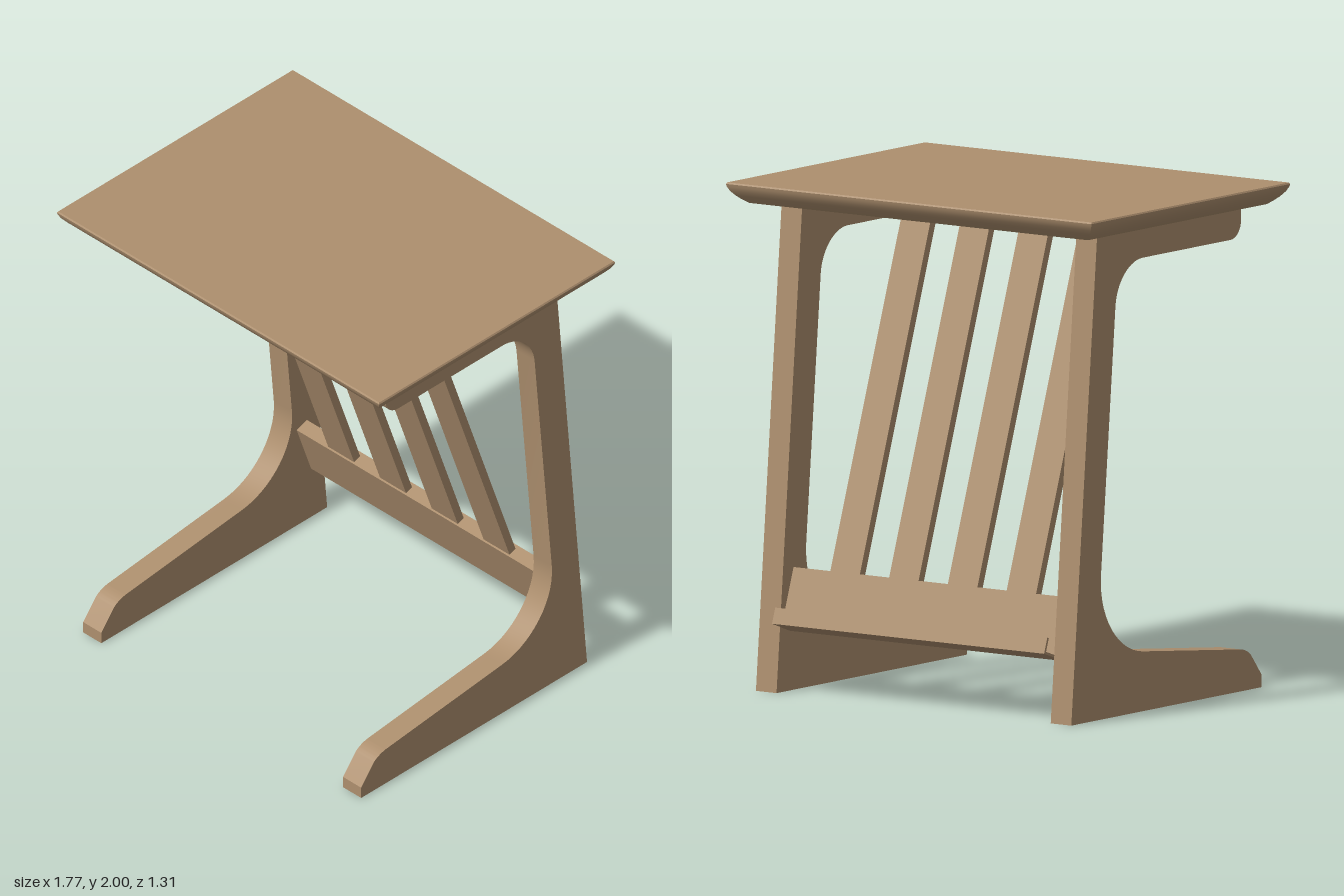
import * as THREE from 'three';
import { toCreasedNormals } from 'three/addons/utils/BufferGeometryUtils.js';

const wood = new THREE.MeshStandardMaterial({ color: 0xad8f6e });
wood.name = 'wood';

function add(parent, name, geometry) {
  const mesh = new THREE.Mesh(geometry, wood);
  mesh.name = name;
  parent.add(mesh);
  return mesh;
}

// Box given by its extents
function box(parent, name, [x0, x1], [y0, y1], [z0, z1]) {
  const mesh = add(parent, name, new THREE.BoxGeometry(x1 - x0, y1 - y0, z1 - z0));
  mesh.position.set((x0 + x1) / 2, (y0 + y1) / 2, (z0 + z1) / 2);
  return mesh;
}

// Rounds the corner at (cx, cy), ending at (ex, ey)
function roundCorner(shape, cx, cy, ex, ey) {
  const p = shape.currentPoint, k = 0.55;
  shape.bezierCurveTo(
    p.x + (cx - p.x) * k, p.y + (cy - p.y) * k,
    ex + (cx - ex) * k, ey + (cy - ey) * k, ex, ey);
}

// Table top: rectangular rings following a rounded, mitred edge profile
function tableTopGeometry(halfX, halfZ) {
  const profile = [[0.065, 1.917], [0.046, 1.931], [0.028, 1.947], [0.012, 1.966],
    [0.003, 1.983], [0, 1.994], [0.004, 2]];
  const rings = profile.map(([inset, y]) =>
    [[1, 1], [1, -1], [-1, -1], [-1, 1]].map(([sx, sz]) =>
      [sx * (halfX - inset), y, sz * (halfZ - inset)]));
  const positions = [];
  const quad = (a, b, c, d) => positions.push(...a, ...b, ...c, ...a, ...c, ...d);
  for (let i = 0; i < rings.length - 1; i++) {
    for (let j = 0; j < 4; j++) {
      const k = (j + 1) % 4;
      quad(rings[i][j], rings[i][k], rings[i + 1][k], rings[i + 1][j]);
    }
  }
  quad(...rings[rings.length - 1]);
  quad(...[...rings[0]].reverse());
  const geometry = new THREE.BufferGeometry();
  geometry.setAttribute('position', new THREE.Float32BufferAttribute(positions, 3));
  return toCreasedNormals(geometry, 0.5);
}

// C-shaped side frame: foot, leaning post and top arm in one outline (z, y)
function sideFrameGeometry(thickness) {
  const s = new THREE.Shape();
  s.moveTo(-0.62, 0);
  s.lineTo(0.63, 0);
  s.lineTo(0.63, 0.05);
  s.lineTo(0.56, 0.136);
  roundCorner(s, 0.538, 0.161, 0.49, 0.166);
  s.lineTo(-0.15, 0.236);
  roundCorner(s, -0.452, 0.269, -0.425, 0.57);
  s.lineTo(-0.33, 1.62);
  roundCorner(s, -0.314, 1.79, -0.15, 1.79);
  s.lineTo(0.425, 1.79);
  roundCorner(s, 0.495, 1.79, 0.495, 1.86);
  s.lineTo(0.495, 1.918);
  s.lineTo(-0.45, 1.918);
  s.closePath();
  const geometry = new THREE.ExtrudeGeometry(s, { depth: thickness, bevelEnabled: false, curveSegments: 14 });
  geometry.rotateY(-Math.PI / 2);
  return toCreasedNormals(geometry, 0.4);
}

export function createModel() {
  const model = new THREE.Group();
  model.name = 'sideTable';

  add(model, 'tableTop', tableTopGeometry(0.887, 0.653));

  const frame = sideFrameGeometry(0.1);
  add(model, 'leftFrame', frame).position.x = 0.765;
  add(model, 'rightFrame', frame).position.x = -0.665;

  // Cross board under the top that receives the slats
  box(model, 'topCrossBoard', [-0.665, 0.665], [1.845, 1.918], [-0.11, 0.07]);

  // Leaning rack: lower board, slats and a lipped ledge at the back
  const rack = new THREE.Group();
  rack.name = 'rack';
  rack.position.set(0, 0.235, -0.531);
  rack.rotation.x = 0.334;
  model.add(rack);

  box(rack, 'lowerBoard', [-0.665, 0.665], [0, 0.243], [-0.06, 0]);
  for (let i = 0; i < 4; i++) {
    const x = (i - 1.5) * 0.285;
    box(rack, 'slat', [x - 0.0715, x + 0.0715], [0.243, 1.715], [-0.043, -0.008]);
  }
  box(rack, 'ledge', [-0.66, 0.66], [0, 0.01], [-0.133, -0.06]);
  box(rack, 'ledgeLip', [-0.66, 0.66], [0.01, 0.065], [-0.133, -0.123]);

  return model;
}
